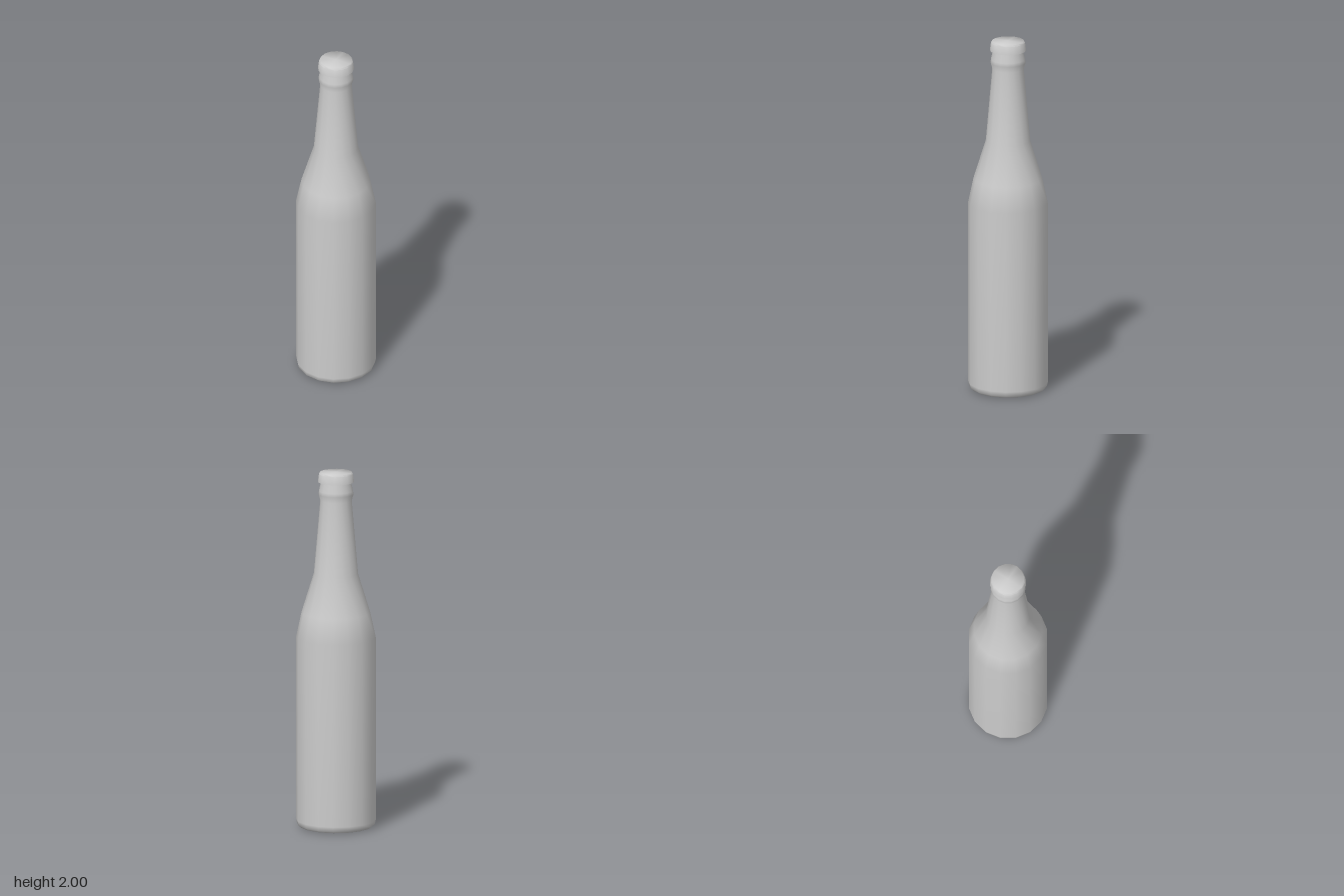
import * as THREE from 'three';
import { toCreasedNormals } from 'three/addons/utils/BufferGeometryUtils.js';

const SIDES = 16;

// Turn a [radius, height] profile, listed from the bottom upwards
function turned(name, profile, material) {
  const points = profile.map(([r, y]) => new THREE.Vector2(r, y));
  const mesh = new THREE.Mesh(new THREE.LatheGeometry(points, SIDES), material);
  mesh.name = name;
  return mesh;
}

export function createModel() {
  const group = new THREE.Group();
  group.name = 'bottle';
  const material = new THREE.MeshStandardMaterial({ color: 0xcccccc, side: THREE.DoubleSide });

  // Glass body: hollowed base, straight wall, shoulder, tapering neck, lip ring
  group.add(turned('glassBody', [
    [0, 0.05], [0.16, 0.012], [0.18, 0.004], [0.2, 0.008], [0.215, 0.02], [0.22, 0.045],
    [0.22, 1.07], [0.19, 1.21], [0.122, 1.43],
    [0.087, 1.84], [0.097, 1.875], [0.094, 1.895], [0.082, 1.95], [0.08, 1.97],
  ], material));

  // Crown cap: flat underside, slightly tapered skirt, softly rounded top
  const cap = turned('cap', [
    [0.07, 1.945], [0.1, 1.945], [0.094, 1.99], [0.089, 1.998], [0, 2],
  ], material);
  cap.geometry = toCreasedNormals(cap.geometry, Math.PI / 3);
  group.add(cap);

  return group;
}
